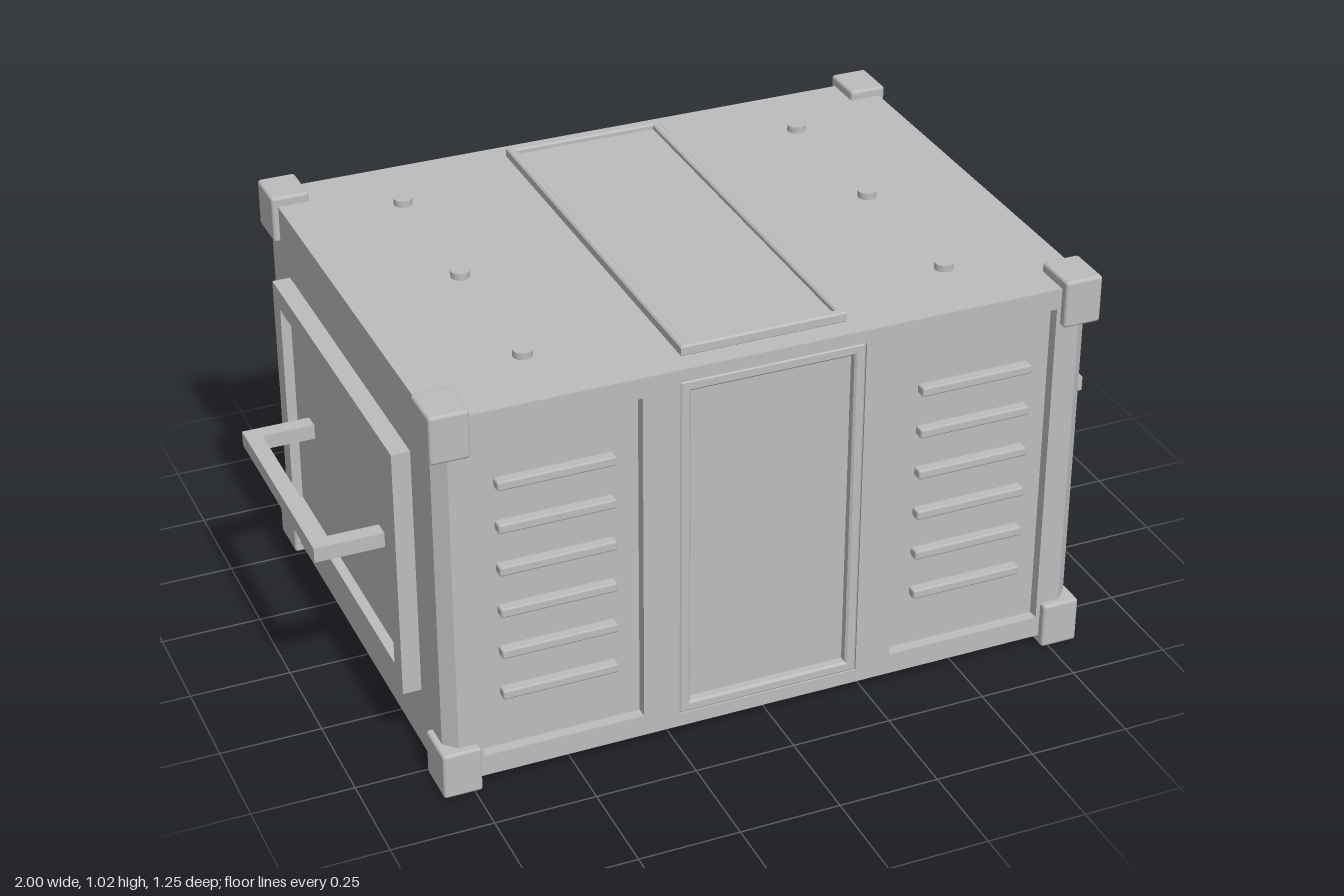
import * as THREE from 'three';
import { RoundedBoxGeometry } from 'three/addons/geometries/RoundedBoxGeometry.js';

const steel = new THREE.MeshStandardMaterial({ color: 0xbcbcbc });
steel.name = 'grey steel';

const BOTTOM = 0.025, TOP = 0.992;   // body height range
const HX = 0.81, HZ = 0.605;         // body half sizes
const FLOOR = 0.577;                 // z of the recessed panels
const CHAMFER = 0.03;

function add(parent, name, geometry, x = 0, y = 0, z = 0) {
  const mesh = new THREE.Mesh(geometry, steel);
  mesh.name = name;
  mesh.position.set(x, y, z);
  parent.add(mesh);
  return mesh;
}

// Closed rectangle as points
function rect(x0, y0, x1, y1) {
  return [[x0, y0], [x1, y0], [x1, y1], [x0, y1]].map(([x, y]) => new THREE.Vector2(x, y));
}

// Rectangular frame from z = 0 to z = depth, with softened edges
function frameGeometry(w, h, border, depth, bevel) {
  const shape = new THREE.Shape(rect(-w / 2, -h / 2, w / 2, h / 2));
  shape.holes.push(new THREE.Path(rect(-w / 2 + border, -h / 2 + border, w / 2 - border, h / 2 - border)));
  const g = new THREE.ExtrudeGeometry(shape, {
    depth: depth - 2 * bevel, bevelEnabled: bevel > 0,
    bevelThickness: bevel, bevelSize: bevel, bevelOffset: -bevel, bevelSegments: 1,
  });
  return g.translate(0, 0, bevel);
}

// Long side: wall with three recesses and a framed centre panel, facing +z
function createLongSide(name) {
  const side = new THREE.Group();
  side.name = name;
  const shape = new THREE.Shape(rect(-0.76, BOTTOM, 0.76, TOP));
  for (const [x0, y0, x1, y1] of [[-0.72, 0.08, -0.32, 0.94], [-0.23, 0.06, 0.23, 0.96], [0.32, 0.08, 0.72, 0.94]]) {
    shape.holes.push(new THREE.Path(rect(x0, y0, x1, y1)));
  }
  add(side, 'recessedWall', new THREE.ExtrudeGeometry(shape, { depth: HZ - FLOOR, bevelEnabled: false }), 0, 0, FLOOR);
  add(side, 'centrePanelFrame', frameGeometry(0.46, 0.9, 0.028, HZ - FLOOR, 0.005), 0, 0.51, FLOOR);
  return side;
}

// End: raised framed plate with a carrying handle, facing +x
function createEnd(name) {
  const end = new THREE.Group();
  end.name = name;
  add(end, 'endPlate', new THREE.BoxGeometry(0.02, 0.63, 0.86), 0.82, 0.508, 0);
  const frame = add(end, 'endPlateFrame', frameGeometry(0.884, 0.645, 0.053, 0.045, 0), HX, 0.508, 0);
  frame.rotation.y = Math.PI / 2;
  add(end, 'handleGrip', new THREE.BoxGeometry(0.04, 0.038, 0.566), 0.98, 0.508, 0);
  for (const s of [-1, 1]) {
    add(end, 'handleArm', new THREE.BoxGeometry(0.14, 0.038, 0.04), 0.89, 0.508, s * 0.263);
  }
  return end;
}

export function createModel() {
  const model = new THREE.Group();
  model.name = 'equipmentCrate';

  // Core with four chamfered corner posts, extruded upward
  const quarter = [[HX, HZ - CHAMFER], [HX - CHAMFER, HZ], [0.76, HZ], [0.76, FLOOR]];
  const mirror = (pts, sx, sz) => pts.map(([x, z]) => new THREE.Vector2(x * sx, z * sz));
  const footprint = [
    ...mirror(quarter, 1, 1), ...mirror(quarter, -1, 1).reverse(),
    ...mirror(quarter, -1, -1), ...mirror(quarter, 1, -1).reverse(),
  ];
  const core = new THREE.ExtrudeGeometry(new THREE.Shape(footprint), { depth: TOP - BOTTOM, bevelEnabled: false });
  add(model, 'body', core.rotateX(-Math.PI / 2), 0, BOTTOM, 0);

  // Long sides and ends
  const front = createLongSide('frontSide');
  const back = createLongSide('backSide');
  back.rotation.y = Math.PI;
  const left = createEnd('leftEnd');
  const right = createEnd('rightEnd');
  right.rotation.y = Math.PI;
  model.add(front, back, left, right);

  // Vent slats on the front only
  for (const s of [-1, 1]) {
    for (let i = 0; i < 6; i++) {
      add(front, 'ventSlat', new RoundedBoxGeometry(0.285, 0.024, 0.036, 1, 0.005), s * 0.523, 0.231 + i * 0.112, 0.584);
    }
  }

  // Corner protectors
  for (const x of [-1, 1]) for (const z of [-1, 1]) for (const y of [0.06, 0.956]) {
    add(model, 'cornerProtector', new RoundedBoxGeometry(0.095, 0.12, 0.119, 2, 0.008), x * 0.778, y, z * 0.566);
  }

  // Raised lid panel with a rim
  add(model, 'lidPanel', new THREE.BoxGeometry(0.39, 0.02, 1.08), 0, 0.994, 0);
  const rim = add(model, 'lidPanelRim', frameGeometry(0.41, 1.1, 0.021, 0.027, 0.004), 0, TOP - 0.002, 0);
  rim.rotation.x = -Math.PI / 2;

  // Lid bolts
  for (const s of [-1, 1]) for (const z of [-0.405, 0, 0.405]) {
    add(model, 'lidBolt', new THREE.CylinderGeometry(0.023, 0.023, 0.03, 16), s * 0.526, 0.994, z);
  }
  return model;
}
